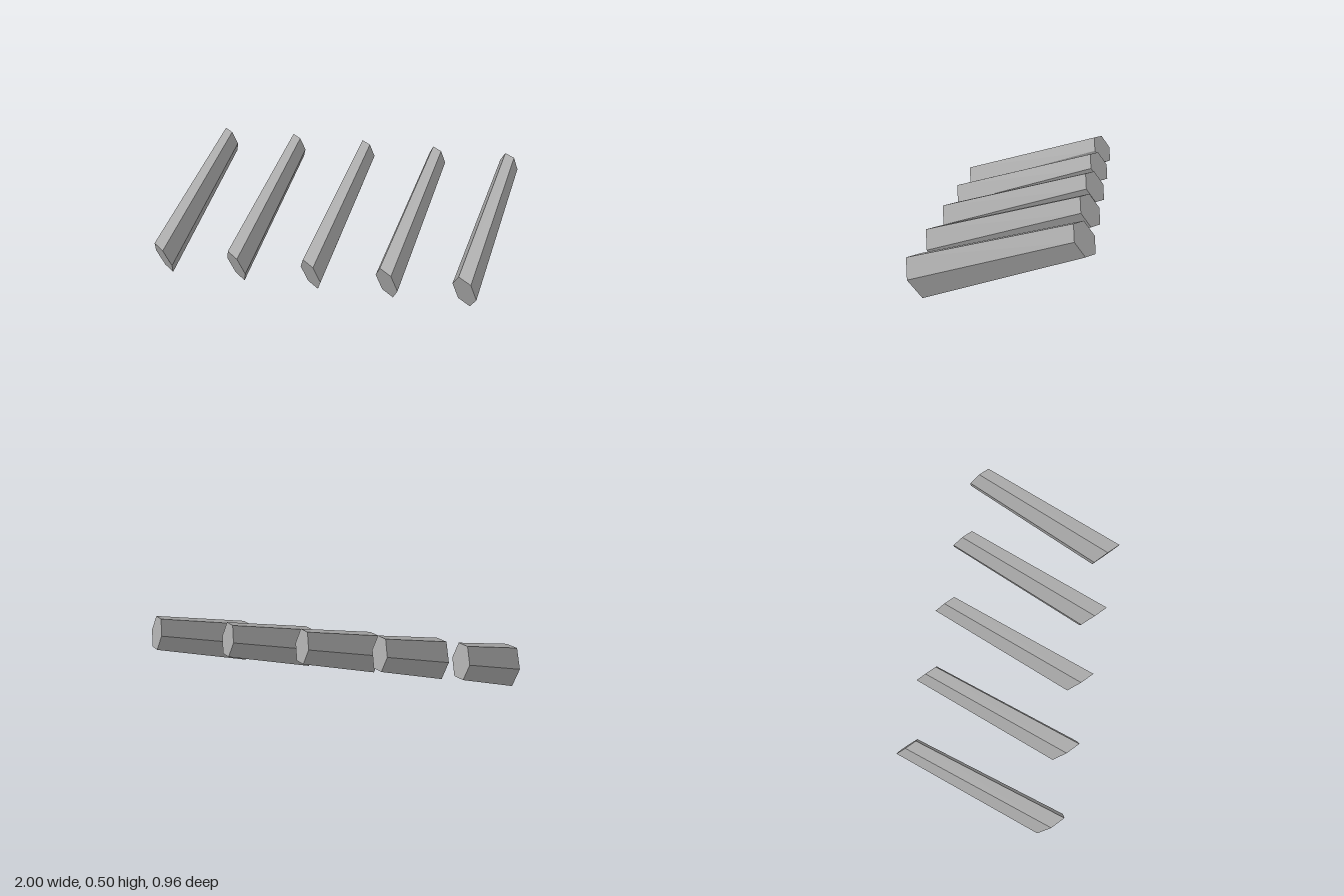
import * as THREE from 'three';

export function createModel() {
  const group = new THREE.Group();
  group.name = 'slantedBars';
  const gray = new THREE.MeshStandardMaterial({ color: 0xa8a8a8, flatShading: true });
  gray.name = 'gray';

  // Tapered hexagonal bar, skewed so that its axis rises towards the back
  const tapered = new THREE.CylinderGeometry(0.75, 1, 1, 6);
  const skew = new THREE.Matrix4().makeBasis(
    new THREE.Vector3(0.005, -0.1236, -0.046), // hexagon height
    new THREE.Vector3(0.187, 0.308, -0.834), // bar axis, front to back
    new THREE.Vector3(0.0675, 0, 0.059) // hexagon corner to the side
  );
  const barGeometry = tapered.toNonIndexed().applyMatrix4(skew);
  barGeometry.computeVertexNormals();

  // Row of five equal bars
  for (let i = 0; i < 5; i++) {
    const bar = new THREE.Mesh(barGeometry, gray);
    bar.name = `bar${i + 1}`;
    bar.position.set((i - 2) * 0.4225 + 0.0065, 0.262, -0.006);
    group.add(bar);
  }
  return group;
}
